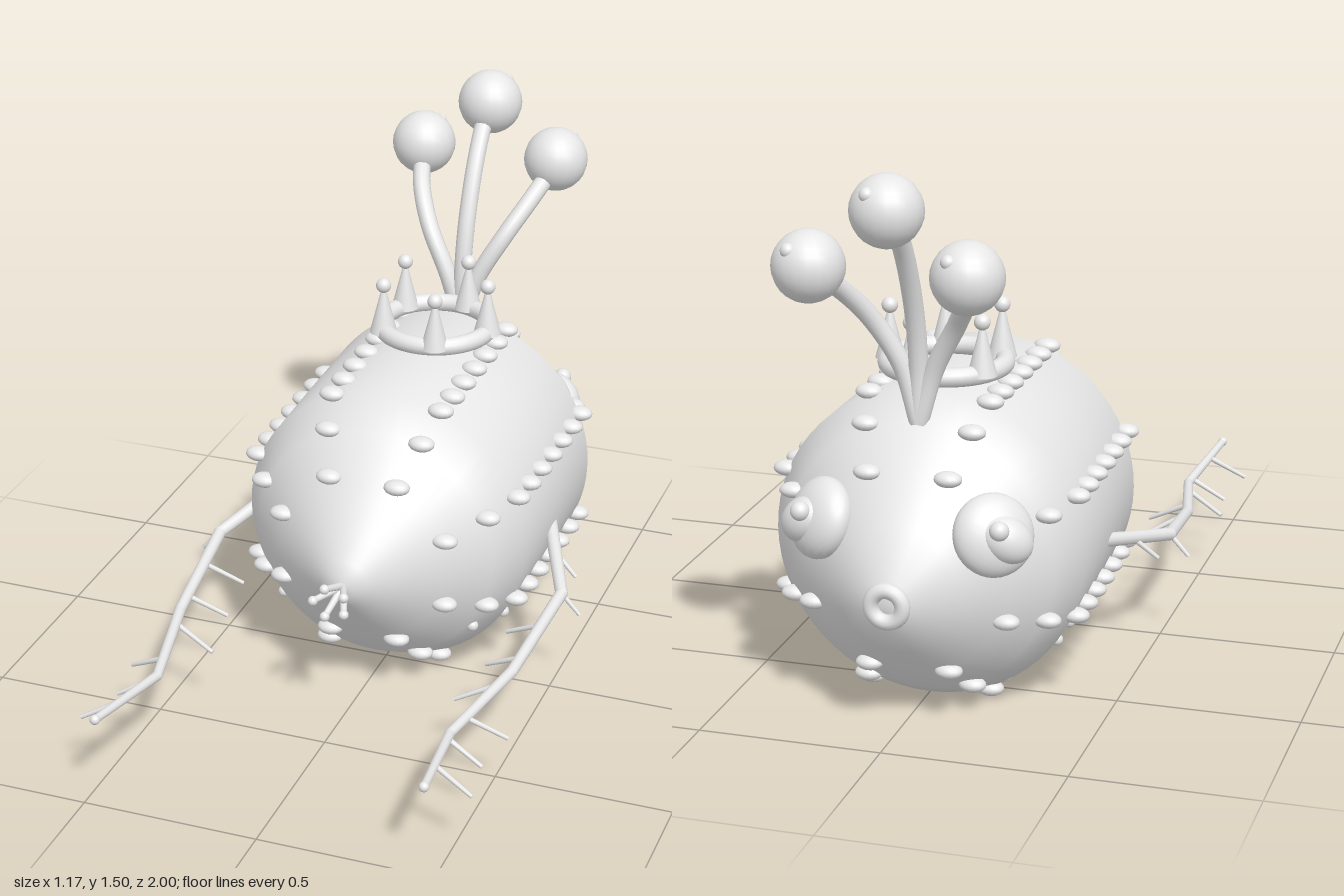
import * as THREE from 'three';

const V = (x, y, z) => new THREE.Vector3(x, y, z);

// Body profile: [z, radius, centre height]
const PROFILE = [
  [-0.93, 0, 0.392], [-0.93, 0.06, 0.392], [-0.85, 0.17, 0.402], [-0.76, 0.28, 0.42],
  [-0.67, 0.37, 0.434], [-0.58, 0.429, 0.44], [-0.3, 0.425, 0.442], [0, 0.417, 0.445],
  [0.1, 0.352, 0.439], [0.2, 0.244, 0.435], [0.29, 0.128, 0.431], [0.335, 0.068, 0.43],
  [0.355, 0.035, 0.43], [0.361, 0, 0.43],
];

function sampleBody(z) {
  let i = 1;
  while (i < PROFILE.length - 2 && PROFILE[i + 1][0] < z) i++;
  const a = PROFILE[i], b = PROFILE[i + 1];
  const t = THREE.MathUtils.clamp((z - a[0]) / (b[0] - a[0]), 0, 1);
  return { r: a[1] + (b[1] - a[1]) * t, y: a[2] + (b[2] - a[2]) * t };
}

export function createModel() {
  const model = new THREE.Group();
  const grey = new THREE.MeshStandardMaterial({ color: 0xe7e7e7 });
  grey.name = 'light grey';

  const add = (name, geometry, position, parent = model) => {
    const mesh = new THREE.Mesh(geometry, grey);
    mesh.name = name;
    if (position) mesh.position.copy(position);
    parent.add(mesh);
    return mesh;
  };
  const group = (name) => {
    const g = new THREE.Group();
    g.name = name;
    model.add(g);
    return g;
  };
  const ball = (name, r, p, parent) => add(name, new THREE.SphereGeometry(r, 20, 14), p, parent);
  // Tapered rod between two points
  const rod = (name, a, b, ra, rb, parent, sides = 12) => {
    const d = b.clone().sub(a);
    const m = add(name, new THREE.CylinderGeometry(rb, ra, d.length(), sides),
      a.clone().add(b).multiplyScalar(0.5), parent);
    m.quaternion.setFromUnitVectors(V(0, 1, 0), d.normalize());
  };

  // Barrel body: lathe laid along z, with its centre line bent slightly
  const body = new THREE.LatheGeometry(PROFILE.map(([z, r]) => new THREE.Vector2(r, z)), 64);
  body.rotateX(Math.PI / 2);
  const pos = body.attributes.position;
  for (let i = 0; i < pos.count; i++) pos.setY(i, pos.getY(i) + sampleBody(pos.getZ(i)).y);
  add('body', body);

  // Eight rows of oval studs
  const studs = group('studs');
  const studGeometry = new THREE.SphereGeometry(1, 16, 10).scale(0.038, 0.021, 0.03);
  for (let row = 0; row < 8; row++) {
    const a = Math.PI / 8 + row * Math.PI / 4;
    for (let i = 0; i <= 10; i++) {
      const z = 0.19 - 0.095 * i;
      const { r, y } = sampleBody(z);
      const d = r + 0.007;
      add('stud', studGeometry, V(Math.cos(a) * d, y + Math.sin(a) * d, z), studs);
    }
  }

  // Mouth ring at the rear tip
  add('mouth', new THREE.TorusGeometry(0.043, 0.021, 12, 28), V(0, 0.39, -0.938));

  // Cluster of feelers on the nose
  const feelers = group('noseFeelers');
  for (let i = 0; i < 5; i++) {
    const a = Math.PI / 5 + i * Math.PI * 0.4;
    const tip = V(Math.cos(a) * 0.05, 0.428 + Math.sin(a) * 0.045, 0.45);
    rod('feeler', V(0, 0.43, 0.345), tip, 0.011, 0.009, feelers);
    ball('feelerTip', 0.014, tip, feelers);
  }

  // Crown: ring with five ball-topped points
  const crown = group('crown');
  add('crownRing', new THREE.TorusGeometry(0.158, 0.026, 14, 48).rotateX(Math.PI / 2),
    V(0, 0.898, -0.42), crown);
  for (let i = 0; i < 5; i++) {
    const a = i * Math.PI * 0.4;
    const x = Math.cos(a) * 0.158, z = -0.42 + Math.sin(a) * 0.158;
    rod('crownPoint', V(x, 0.895, z), V(x, 1.03, z), 0.04, 0.006, crown, 20);
    ball('crownBall', 0.022, V(x, 1.04, z), crown);
  }

  // Three curved stalks carrying balls
  const stalk = (points, centre) => {
    const g = group('antenna');
    const curve = new THREE.CatmullRomCurve3(points);
    add('stalk', new THREE.TubeGeometry(curve, 28, 0.026, 12), null, g);
    ball('antennaBall', 0.095, centre, g);
    ball('antennaPupil', 0.02, centre.clone().add(V(0.03, 0.051, -0.062)), g);
  };
  stalk([V(0, 0.8, -0.66), V(0, 0.95, -0.66), V(0, 1.1, -0.69), V(0, 1.26, -0.76),
    V(0, 1.37, -0.84), V(0, 1.42, -0.9)], V(0, 1.42, -0.903));

  for (const s of [1, -1]) {
    stalk([V(0, 0.8, -0.66), V(s * 0.045, 0.95, -0.66), V(s * 0.115, 1.08, -0.695),
      V(s * 0.17, 1.175, -0.775), V(s * 0.2, 1.235, -0.87), V(s * 0.208, 1.26, -0.9)],
    V(s * 0.208, 1.265, -0.903));

    // Bulging eye: dome, inner ball and pupil stacked along the surface normal
    const n = V(s * 0.58, 0.34, -0.74).normalize();
    const eye = group('eye');
    eye.position.set(s * 0.235, 0.55, -0.77);
    eye.quaternion.setFromUnitVectors(V(0, 0, 1), n);
    add('eyeBase', new THREE.SphereGeometry(0.11, 28, 18).scale(1, 1, 0.58), null, eye);
    add('eyeBall', new THREE.SphereGeometry(0.06, 24, 16).scale(1, 1.25, 0.85), V(0, -0.025, 0.037), eye);
    ball('eyePupil', 0.026, V(0, 0.016, 0.08), eye);

    // Lower row of small round studs
    for (let i = 0; i < 6; i++) {
      const z = 0.075 - 0.119 * i, h = 0.212 - 0.007 * i;
      const { r, y } = sampleBody(z);
      ball('smallStud', 0.017, V(s * Math.sqrt(r * r - (y - h) ** 2), h, z), studs);
    }

    // Jointed, tapering arm
    const arm = group('arm');
    const path = [V(0.395, 0.39, -0.31), V(0.525, 0.318, -0.01), V(0.495, 0.26, 0.35),
      V(0.425, 0.236, 0.67), V(0.463, 0.273, 0.985)];
    path.forEach((p) => { p.x *= s; });
    const radii = [0.02, 0.018, 0.016, 0.014, 0.011];
    for (let i = 0; i < 4; i++) {
      rod('armSegment', path[i], path[i + 1], radii[i], radii[i + 1], arm);
      ball('armJoint', radii[i], path[i], arm);
    }
    ball('armTip', 0.014, path[4], arm);

    // Thorns: [z of root, sideways reach, forward reach]
    const thorns = [[-0.17, 0.07, 0.02], [-0.01, 0.055, 0], [0.14, -0.11, -0.03],
      [0.29, -0.11, -0.03], [0.42, -0.12, 0.02], [0.59, 0.11, -0.03],
      [0.7, 0.1, 0.01], [0.86, 0.11, 0.02]];
    for (const [z, dx, dz] of thorns) {
      let k = 0;
      while (k < 3 && path[k + 1].z < z) k++;
      const root = path[k].clone().lerp(path[k + 1], (z - path[k].z) / (path[k + 1].z - path[k].z));
      rod('thorn', root, root.clone().add(V(s * dx, -0.06, dz)), 0.008, 0.006, arm, 8);
    }
  }
  return model;
}
